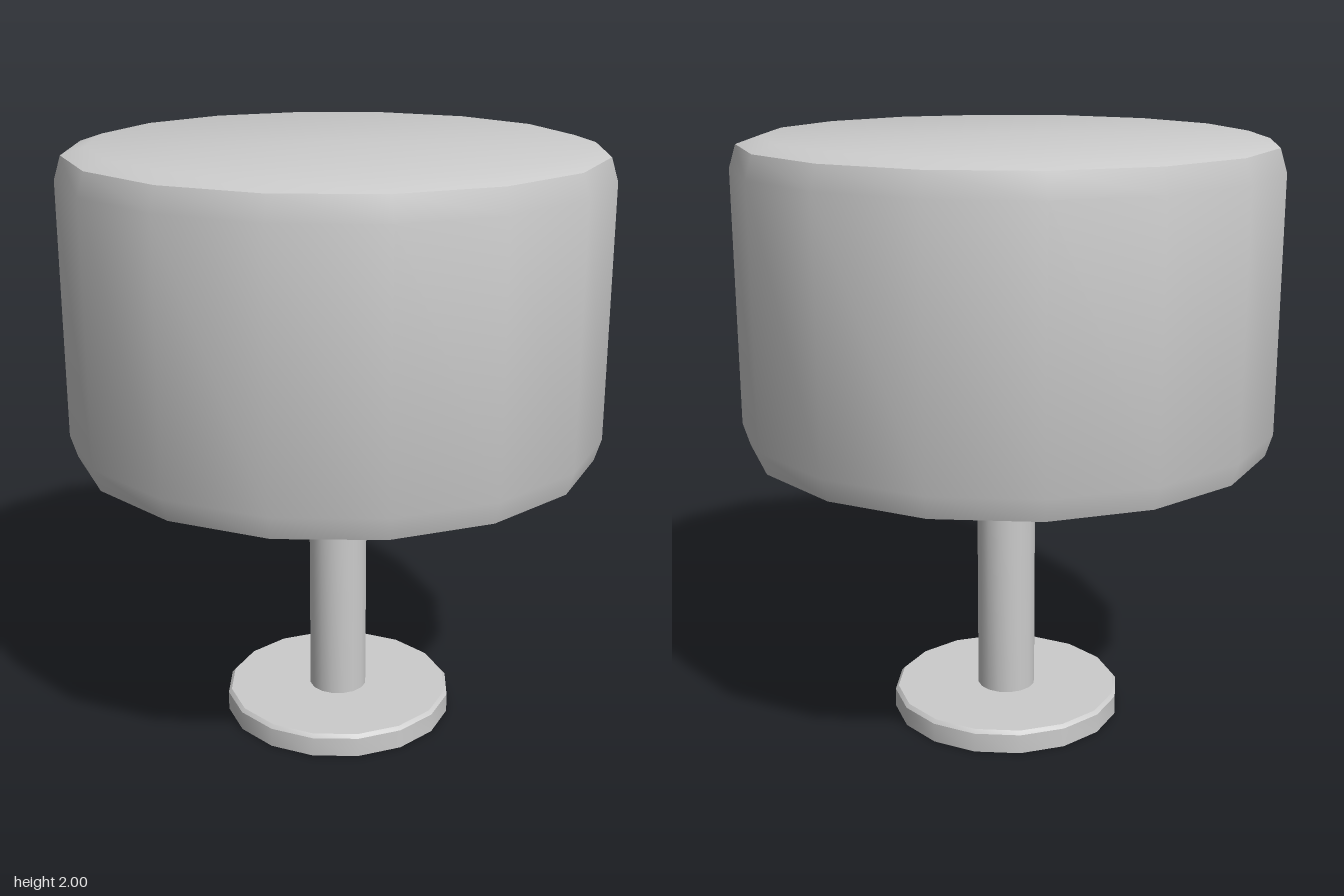
import * as THREE from 'three';
import { toCreasedNormals } from 'three/addons/utils/BufferGeometryUtils.js';

const SIDES = 16;

// Turned part from [radius, height] pairs, listed bottom to top on the outside.
function turned(name, profile, side = THREE.FrontSide) {
  const points = profile.map(([r, y]) => new THREE.Vector2(r, y));
  const geometry = toCreasedNormals(new THREE.LatheGeometry(points, SIDES), 0.6);
  const mesh = new THREE.Mesh(geometry, new THREE.MeshStandardMaterial({ color: 0xcccccc, side }));
  mesh.name = name;
  return mesh;
}

export function createModel() {
  const model = new THREE.Group();
  model.name = 'tableLamp';

  // Closed drum shade with softened rims
  const shade = turned('shade', [
    [0, 0.963], [0.79, 0.963], [0.865, 0.988], [0.888, 1.063],
    [0.888, 1.9], [0.865, 1.975], [0.79, 2], [0, 2],
  ]);

  // Hollow stem, open at the bottom
  const stem = turned('stem', [[0.1, 0], [0.1, 0.97]], THREE.DoubleSide);

  // Foot disc with a small chamfer and a hole for the stem
  const foot = turned('foot', [
    [0.1, 0], [0.395, 0], [0.395, 0.066], [0.384, 0.078], [0.1, 0.078],
  ]);

  // Stem and foot sit very slightly off the shade's axis
  for (const part of [stem, foot]) part.position.set(0.005, 0, 0.005 * -1);

  model.add(shade, stem, foot);
  return model;
}
